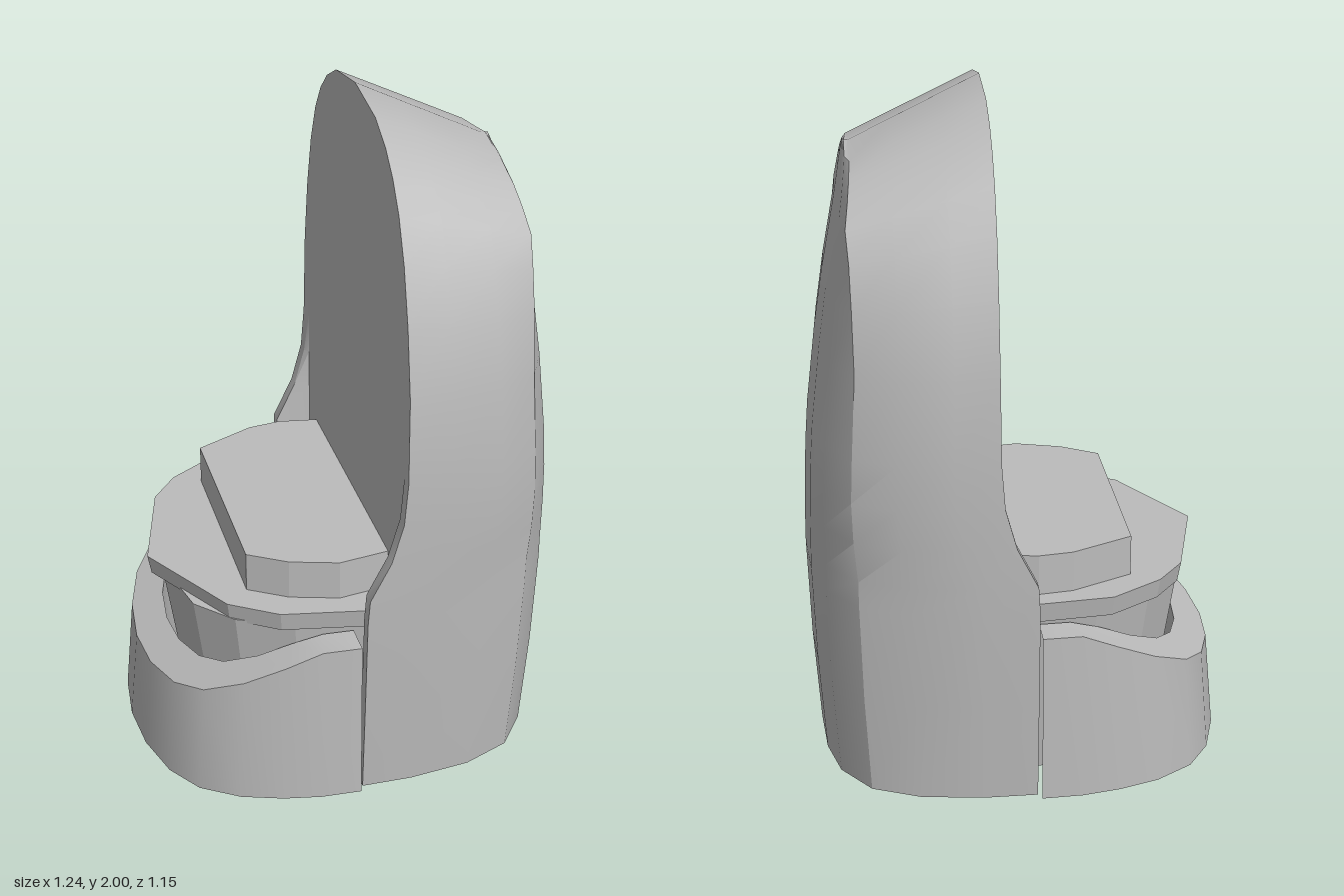
import * as THREE from 'three';
import { toCreasedNormals } from 'three/addons/utils/BufferGeometryUtils.js';

const grey = new THREE.MeshStandardMaterial({ color: 0xbcbcbc });
grey.name = 'grey';

// Skin a stack of closed rings of [x, y, z]; optionally close the first ring as a floor.
function loft(rings, floor) {
  const n = rings[0].length, index = [];
  for (let r = 0; r < rings.length - 1; r++) {
    for (let i = 0; i < n; i++) {
      const a = r * n + i, b = r * n + (i + 1) % n;
      index.push(a, b, b + n, a, b + n, a + n);
    }
  }
  if (floor) {
    const outline = rings[0].map(([x, , z]) => new THREE.Vector2(x, -z));
    for (const [a, b, c] of THREE.ShapeUtils.triangulateShape(outline, [])) index.push(a, c, b);
  }
  const g = new THREE.BufferGeometry();
  g.setAttribute('position', new THREE.Float32BufferAttribute(rings.flat(2), 3));
  g.setIndex(index);
  return toCreasedNormals(g.toNonIndexed(), 0.5);
}

// Flat slab from a plan outline of [x, z]; the bottom is drawn in by taper.
function slab(points, y0, y1, taper = 1) {
  const shape = new THREE.Shape(points.map(([x, z]) => new THREE.Vector2(x, -z)));
  const g = new THREE.ExtrudeGeometry(shape, { depth: y1 - y0, bevelEnabled: false });
  g.rotateX(-Math.PI / 2).translate(0, y0, 0);
  const p = g.attributes.position;
  for (let i = 0; i < p.count; i++) {
    const s = p.getY(i) < (y0 + y1) / 2 ? taper : 1;
    p.setX(i, p.getX(i) * s);
    p.setZ(i, p.getZ(i) * s);
  }
  g.computeVertexNormals();
  return g;
}

// Tall back: rounded plan low down, squarer towards the slanted arched top
function backGeometry() {
  const round = [[0, 1], [0.25, 1], [0.55, 0.955], [0.78, 0.84], [0.92, 0.62], [0.98, 0.35], [1, 0]];
  const square = [[0, 1], [0.3, 0.96], [0.65, 0.91], [0.95, 0.86], [0.98, 0.58], [0.99, 0.3], [1, 0]];
  // height, inner x, half width, drop at the outer rim, outer x, squareness
  const levels = [
    [0, -0.02, 0.53, 0, 0.59, 0],
    [0.3, -0.02, 0.55, 0, 0.61, 0],
    [0.6, -0.02, 0.567, 0, 0.62, 0],
    [0.68, -0.015, 0.57, 0, 0.619, 0],
    [0.8, 0.045, 0.573, 0, 0.615, 0],
    [0.92, 0.078, 0.575, 0, 0.61, 0],
    [1.05, 0.088, 0.575, 0, 0.6, 0],
    [1.3, 0.09, 0.565, 0.02, 0.572, 0.1],
    [1.5, 0.09, 0.53, 0.05, 0.545, 0.4],
    [1.66, 0.09, 0.485, 0.09, 0.522, 0.7],
    [1.78, 0.09, 0.43, 0.12, 0.505, 1],
    [1.86, 0.09, 0.37, 0.14, 0.495, 1],
    [1.92, 0.09, 0.3, 0.155, 0.488, 1],
    [1.97, 0.09, 0.2, 0.17, 0.482, 1],
    [2, 0.09, 0, 0.18, 0.48, 1],
  ];
  const rings = levels.map(([y, xi, w, drop, xo, k]) => {
    const half = round.map(([u, v], i) => {
      const uu = u + (square[i][0] - u) * k, vv = v + (square[i][1] - v) * k;
      return [xi + (xo - xi) * uu, y - drop * Math.min(1, uu / 0.95), w * vv];
    });
    // recessed front panel between the thin side cheeks
    half.unshift([Math.max(xi, 0.09), y, w * 0.9], [xi, y, w * 0.93]);
    const mirror = half.slice(0, -1).reverse().map(([x, yy, z]) => [x, yy, -z]);
    return [...half, ...mirror];
  });
  return loft(rings, true);
}

// Curved front wall of the base with a sloping rim
function baseGeometry() {
  const half = [[-0.03, 0.553], [-0.15, 0.548], [-0.26, 0.527], [-0.38, 0.487], [-0.49, 0.415],
    [-0.56, 0.31], [-0.605, 0.16], [-0.62, 0]];
  const path = [...half, ...half.slice(0, -1).reverse().map(([x, z]) => [x, -z])];
  const rim = x => Math.min(0.51, 0.29 + (x + 0.59) * 0.5);
  return loft(path.map(([x, z]) => {
    const tx = x === -0.03 ? x : x * 0.955, ix = x === -0.03 ? x : x * 0.8;
    return [[x, 0, z], [tx, rim(tx), z * 0.99], [ix, rim(ix), z * 0.82], [ix, 0, z * 0.82]];
  }), false);
}

export function createModel() {
  const model = new THREE.Group();
  model.name = 'chair';
  const add = (name, geometry) => {
    const mesh = new THREE.Mesh(geometry, grey);
    mesh.name = name;
    model.add(mesh);
  };

  add('backrest', backGeometry());
  add('baseWall', baseGeometry());

  // Pedestal inside the base
  add('pedestal', slab([[-0.51, 0.03], [-0.46, 0.26], [-0.36, 0.37], [-0.2, 0.44], [0.2, 0.46],
    [0.2, -0.46], [-0.2, -0.44], [-0.36, -0.37], [-0.46, -0.26]], 0.004, 0.55, 0.84));

  // Seat plate and cushion
  add('seatPlate', slab([[-0.555, 0.05], [-0.38, 0.36], [-0.245, 0.45], [0, 0.495], [0.1, 0.52],
    [0.1, -0.52], [-0.24, -0.485], [-0.39, -0.385], [-0.47, -0.28]], 0.54, 0.6, 0.98));
  add('cushion', slab([[-0.31, 0.3], [-0.2, 0.37], [-0.06, 0.412], [0.1, 0.385],
    [0.1, -0.425], [-0.03, -0.445], [-0.13, -0.43], [-0.31, -0.34]], 0.6, 0.72));

  return model;
}
